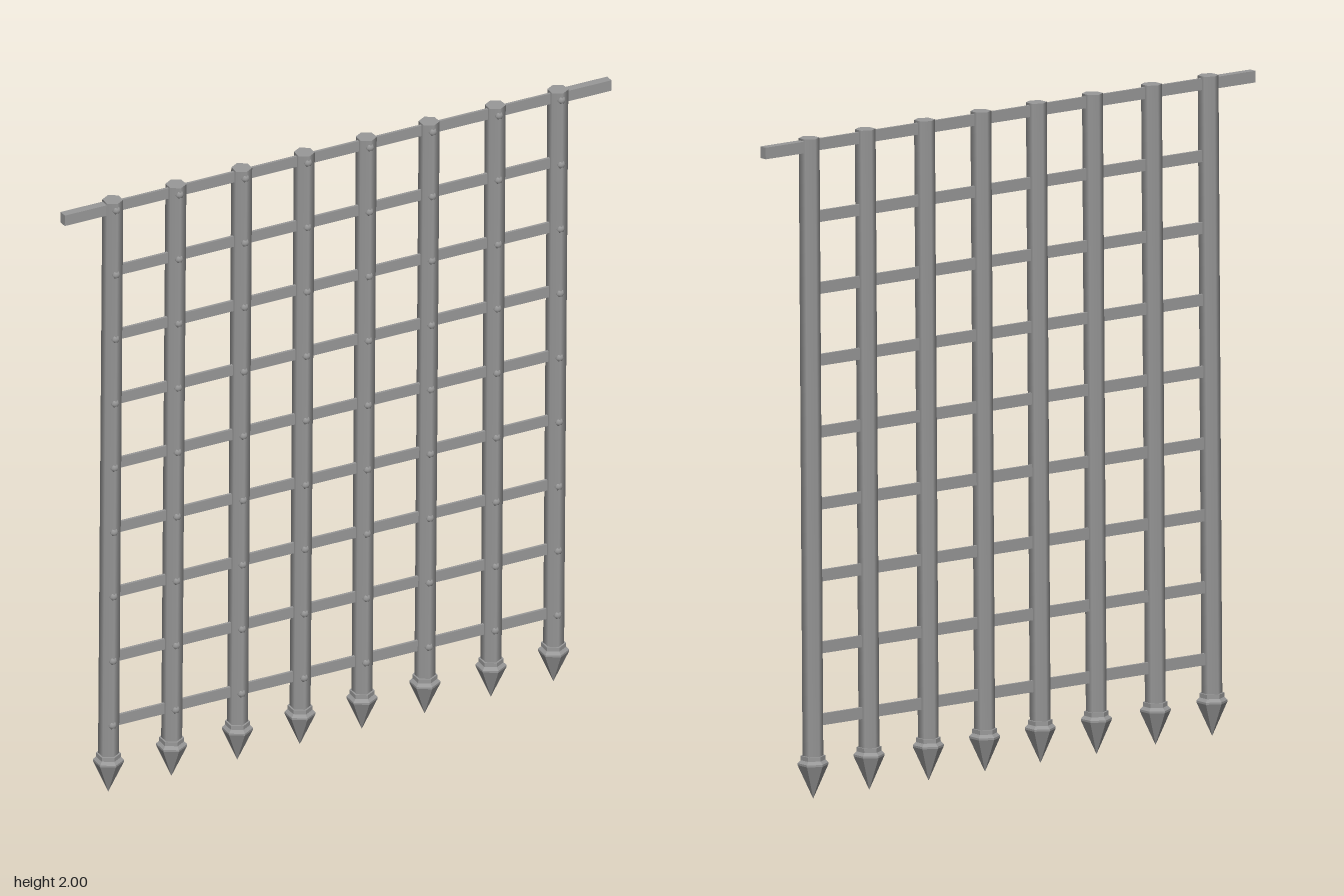
import * as THREE from 'three';

export function createModel() {
  const model = new THREE.Group();
  const color = 0x999999;
  const smoothIron = new THREE.MeshStandardMaterial({ color });
  const facetedIron = new THREE.MeshStandardMaterial({ color, flatShading: true });

  // Everything hangs on a frame that leans very slightly to one side
  const frame = new THREE.Group();
  frame.name = 'grate';
  frame.position.y = 1;
  frame.rotation.z = -0.0076;
  model.add(frame);

  const add = (name, geometry, material, x, y, z = 0) => {
    const mesh = new THREE.Mesh(geometry, material);
    mesh.name = name;
    mesh.position.set(x, y - 1, z);
    frame.add(mesh);
  };

  const barX = [-0.753, -0.542, -0.322, -0.113, 0.094, 0.304, 0.525, 0.734];
  const rowY = Array.from({ length: 9 }, (_, i) => 0.24 + i * 0.2163);
  const tipY = 0.0056, barBottom = 0.12, barTop = 1.9943;

  // Six-sided upright bars, spear points and low front rivets
  const barGeo = new THREE.CylinderGeometry(0.031, 0.031, barTop - barBottom, 6);
  const spikeGeo = new THREE.LatheGeometry([
    [0, 0], [0.046, 0.102], [0.046, 0.108], [0.037, 0.117], [0.037, 0.13], [0, 0.13],
  ].map(([r, y]) => new THREE.Vector2(r, y)), 6);
  const rivetGeo = new THREE.SphereGeometry(0.014, 6, 3, 0, Math.PI * 2, 0, Math.PI / 2);
  rivetGeo.rotateX(Math.PI / 2).scale(1, 1, 0.75);

  for (const x of barX) {
    add('uprightBar', barGeo, smoothIron, x, (barTop + barBottom) / 2);
    add('spearPoint', spikeGeo, facetedIron, x, tipY);
    for (const y of rowY) add('rivet', rivetGeo, smoothIron, x, y, 0.0235);
  }

  // Thin flat straps between the outer uprights
  const first = barX[0], last = barX[barX.length - 1];
  const strapGeo = new THREE.BoxGeometry(last - first, 0.035, 0.008);
  for (const y of rowY) add('crossStrap', strapGeo, facetedIron, (first + last) / 2, y);

  // Thicker ends of the top rail reaching past the outer uprights
  for (const [inner, outer] of [[first, -0.92], [last, 0.906]]) {
    const geo = new THREE.BoxGeometry(Math.abs(outer - inner), 0.035, 0.026);
    add('topRailEnd', geo, facetedIron, (inner + outer) / 2, rowY[8]);
  }
  return model;
}
